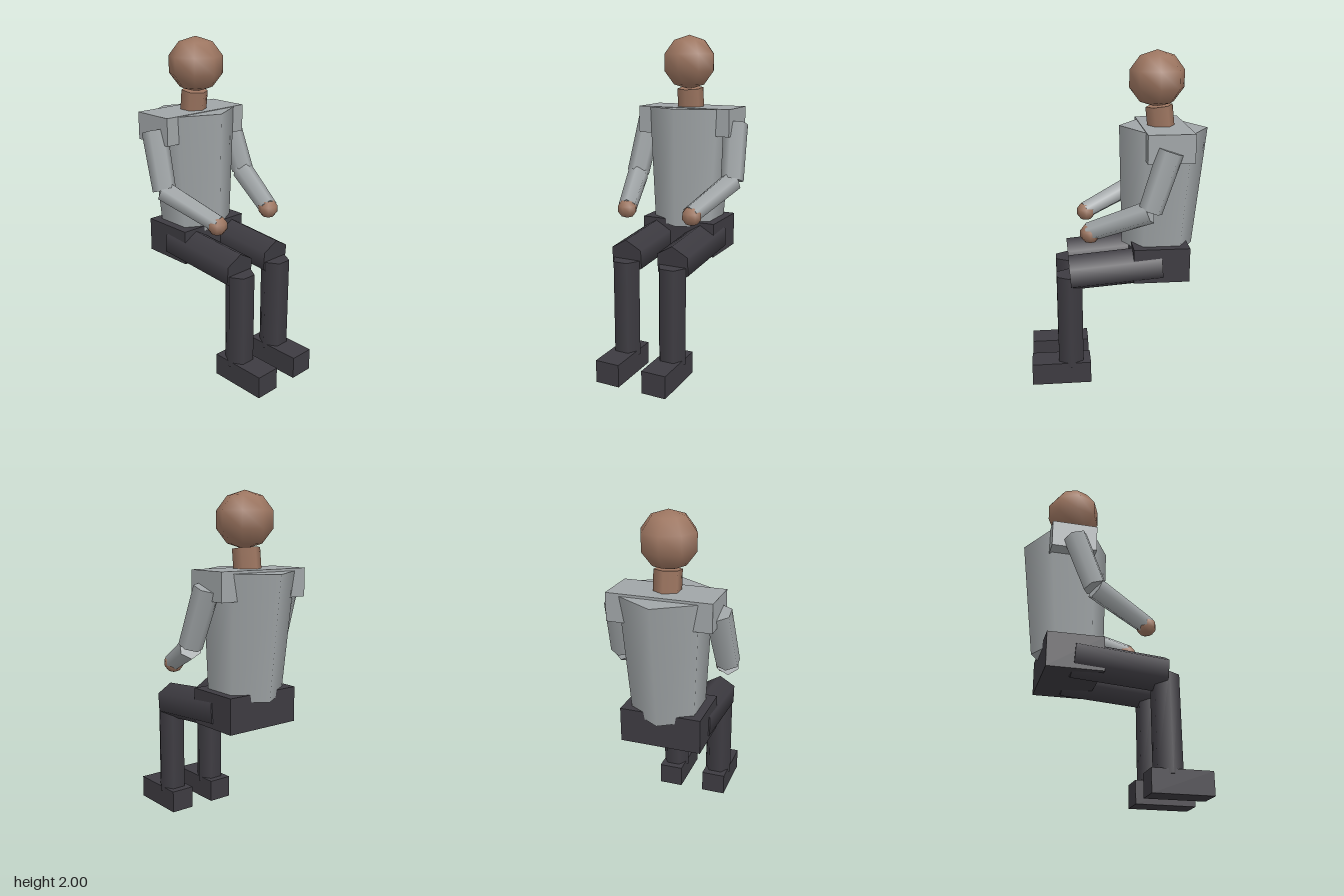
import * as THREE from 'three';

const material = (name, color) => Object.assign(new THREE.MeshStandardMaterial({ color }), { name });

export function createModel() {
  const skin = material('skin', 0x9c7560);
  const shirt = material('shirt', 0xa0a5a7);
  const trousers = material('trousers', 0x3d3b41);
  const figure = new THREE.Group();
  figure.name = 'seatedFigure';

  const add = (name, geometry, mat) => {
    const mesh = new THREE.Mesh(geometry, mat);
    mesh.name = name;
    figure.add(mesh);
    return mesh;
  };

  const box = (name, mat, min, max) => {
    const mesh = add(name, new THREE.BoxGeometry(...max.map((v, i) => v - min[i])), mat);
    mesh.position.set(...max.map((v, i) => (v + min[i]) / 2));
  };

  // Six-sided tapered limb from a to b, one corner turned towards "corner"
  const limb = (name, mat, a, b, ra, rb, corner) => {
    const start = new THREE.Vector3(...a), end = new THREE.Vector3(...b);
    const axis = end.clone().sub(start);
    const mesh = add(name, new THREE.CylinderGeometry(rb, ra, axis.length(), 6), mat);
    axis.normalize();
    const side = new THREE.Vector3(...corner).cross(axis).negate().normalize();
    const front = new THREE.Vector3().crossVectors(side, axis);
    mesh.quaternion.setFromRotationMatrix(new THREE.Matrix4().makeBasis(side, axis, front));
    mesh.position.copy(start).add(end).multiplyScalar(0.5);
  };

  const ball = (name, r, x, y, z) => {
    const mesh = add(name, new THREE.SphereGeometry(r, 8, 5), skin);
    mesh.scale.set(1.038, 1, 1.038);
    mesh.position.set(x, y, z);
  };

  const X = [1, 0, 0], Y = [0, 1, 0], Z = [0, 0, 1];

  // Body and head
  limb('torso', shirt, [-0.25, 0.832, 0], [-0.28, 1.556, 0], 0.218, 0.265, X);
  box('shoulders', shirt, [-0.415, 1.4, -0.305], [-0.145, 1.565, 0.305]);
  box('pelvis', trousers, [-0.415, 0.66, -0.243], [-0.08, 0.87, 0.243]);
  limb('neck', skin, [-0.27, 1.5, 0], [-0.25, 1.68, 0], 0.081, 0.081, X);
  ball('head', 0.164, -0.236, 1.836, 0);

  // Arms and legs, mirrored across z
  for (const s of [-1, 1]) {
    const n = s > 0 ? 'front' : 'back';
    limb(n + 'UpperArm', shirt, [-0.275, 1.47, s * 0.297], [-0.16, 1.136, s * 0.327], 0.076, 0.07, X);
    limb(n + 'Forearm', shirt, [-0.157, 1.13, s * 0.325], [0.18, 0.985, s * 0.212], 0.068, 0.057, Y);
    ball(n + 'Hand', 0.059, 0.175, 0.978, s * 0.215);
    limb(n + 'Thigh', trousers, [-0.252, 0.752, s * 0.152], [0.297, 0.708, s * 0.152], 0.115, 0.112, Y);
    limb(n + 'LowerLeg', trousers, [0.3, 0.11, s * 0.152], [0.3, 0.7, s * 0.152], 0.087, 0.087, Z);
    box(n + 'Foot', trousers, [0.18, 0, s * 0.152 - 0.076], [0.54, 0.137, s * 0.152 + 0.076]);
  }
  return figure;
}
